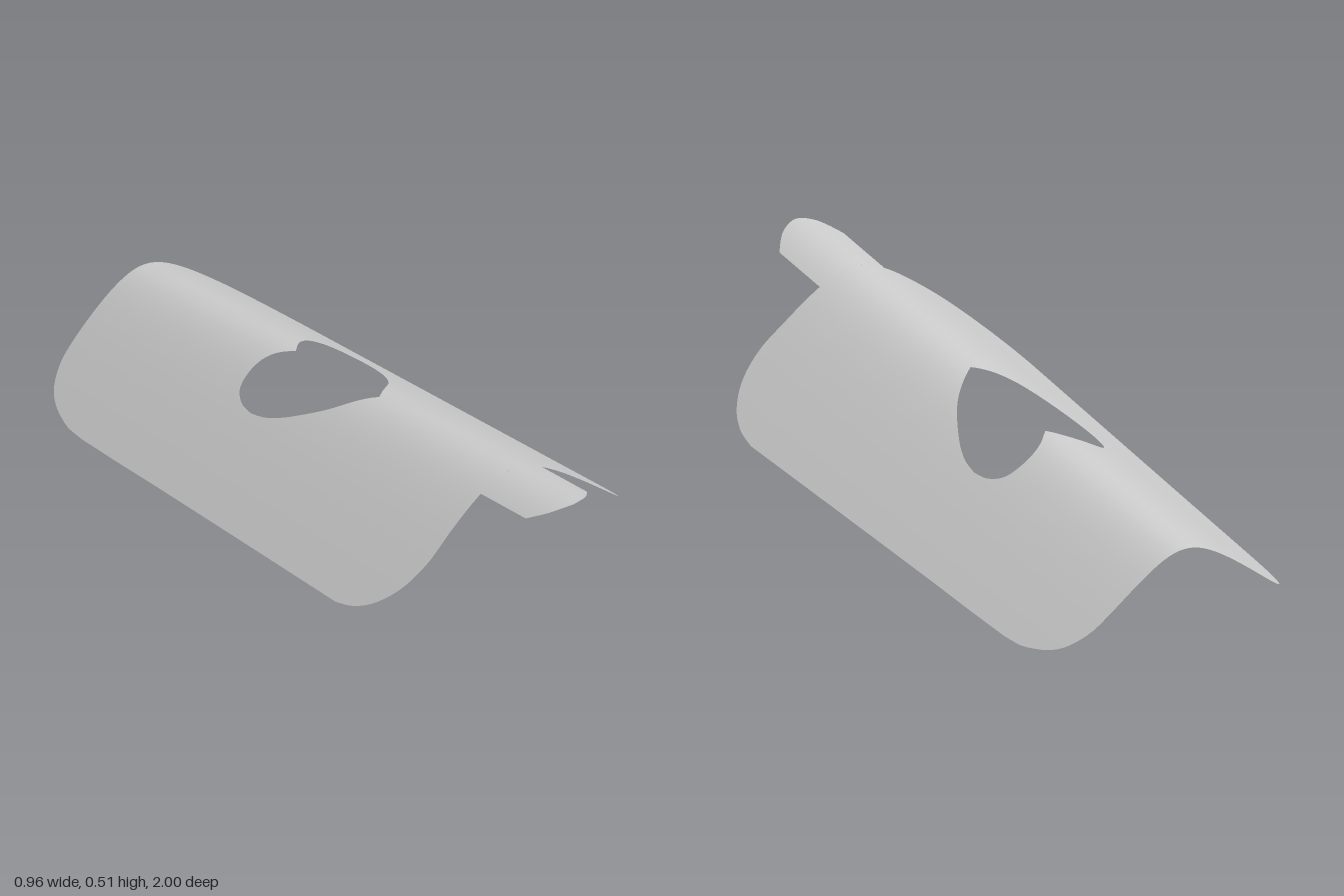
import * as THREE from 'three';
import { mergeGeometries, mergeVertices } from 'three/addons/utils/BufferGeometryUtils.js';

// Smooth edge curve in plan, looked up as z for a given |x|
function edge(...pts) {
  const line = new THREE.SplineCurve(pts.map(p => new THREE.Vector2(...p))).getPoints(160);
  return x => {
    const ax = Math.abs(x);
    for (let i = 1; i < line.length; i++) {
      const a = line[i - 1], b = line[i];
      if (ax <= b.x && b.x > a.x) return a.y + (b.y - a.y) * Math.max(0, (ax - a.x) / (b.x - a.x));
    }
    return line[line.length - 1].y;
  };
}

const HALF = 0.481, HEART = 0.207, TAB = 0.111;
const backEdge = edge([0, -1], [0.15, -0.998], [0.26, -0.99], [0.32, -0.973], [0.377, -0.925],
  [0.415, -0.84], [0.434, -0.73], [0.446, -0.4], [0.463, 0.05], [HALF, 0.51]);
const frontEdge = edge([0, 0.708], [0.11, 0.71], [0.22, 0.715], [0.31, 0.72], [0.385, 0.697],
  [0.44, 0.645], [0.47, 0.58], [HALF, 0.51]);
const heartBack = edge([0, -0.285], [0.05, -0.33], [0.106, -0.346], [0.165, -0.332], [0.197, -0.285], [HEART, -0.23]);
const heartFront = edge([0, 0.1], [0.1, 0.015], [0.165, -0.085], [0.198, -0.165], [HEART, -0.23]);
const tabEnd = edge([0, 0.998], [0.03, 0.99], [0.07, 0.966], [TAB, 0.918]);

// Height of the sheet: sloping ridge minus a rounded tent section that tapers to the back
function height(x, z) {
  const w = 0.462 + 0.0346 * z, u = x / w;
  return 0.3975 + 0.1175 * z - w * (Math.hypot(0.268, 0.93 * u) - 0.268);
}

// Piece of the sheet between two edges, with columns bunched towards its ends
function patch(x0, x1, lo, hi, columns = 48, rows = 14) {
  const pos = [], index = [];
  for (let i = 0; i <= columns; i++) {
    const x = x0 + (x1 - x0) * (1 - Math.cos(Math.PI * i / columns)) / 2;
    const a = lo(x), b = hi(x);
    for (let j = 0; j <= rows; j++) {
      const z = a + (b - a) * j / rows;
      pos.push(x, height(x, z), z);
      if (i < columns && j < rows) {
        const p = i * (rows + 1) + j, q = p + rows + 1;
        index.push(p, p + 1, q, q, p + 1, q + 1);
      }
    }
  }
  const g = new THREE.BufferGeometry();
  g.setAttribute('position', new THREE.Float32BufferAttribute(pos, 3));
  g.setIndex(index);
  return g;
}

export function createModel() {
  const group = new THREE.Group();
  const material = new THREE.MeshStandardMaterial({ color: 0xcccccc, side: THREE.DoubleSide });
  const add = (name, geometry) => {
    geometry.computeVertexNormals();
    const mesh = new THREE.Mesh(geometry, material);
    mesh.name = name;
    group.add(mesh);
  };

  // Bent panel around the heart-shaped opening
  add('bentPanel', mergeVertices(mergeGeometries([
    patch(-HEART, HEART, backEdge, heartBack),
    patch(-HEART, HEART, heartFront, frontEdge),
    patch(-HALF, -HEART, backEdge, frontEdge),
    patch(HEART, HALF, backEdge, frontEdge),
  ]), 1e-5));

  // Narrow tongue at the front
  add('frontTab', patch(-TAB, TAB, frontEdge, tabEnd, 24, 6));
  return group;
}
